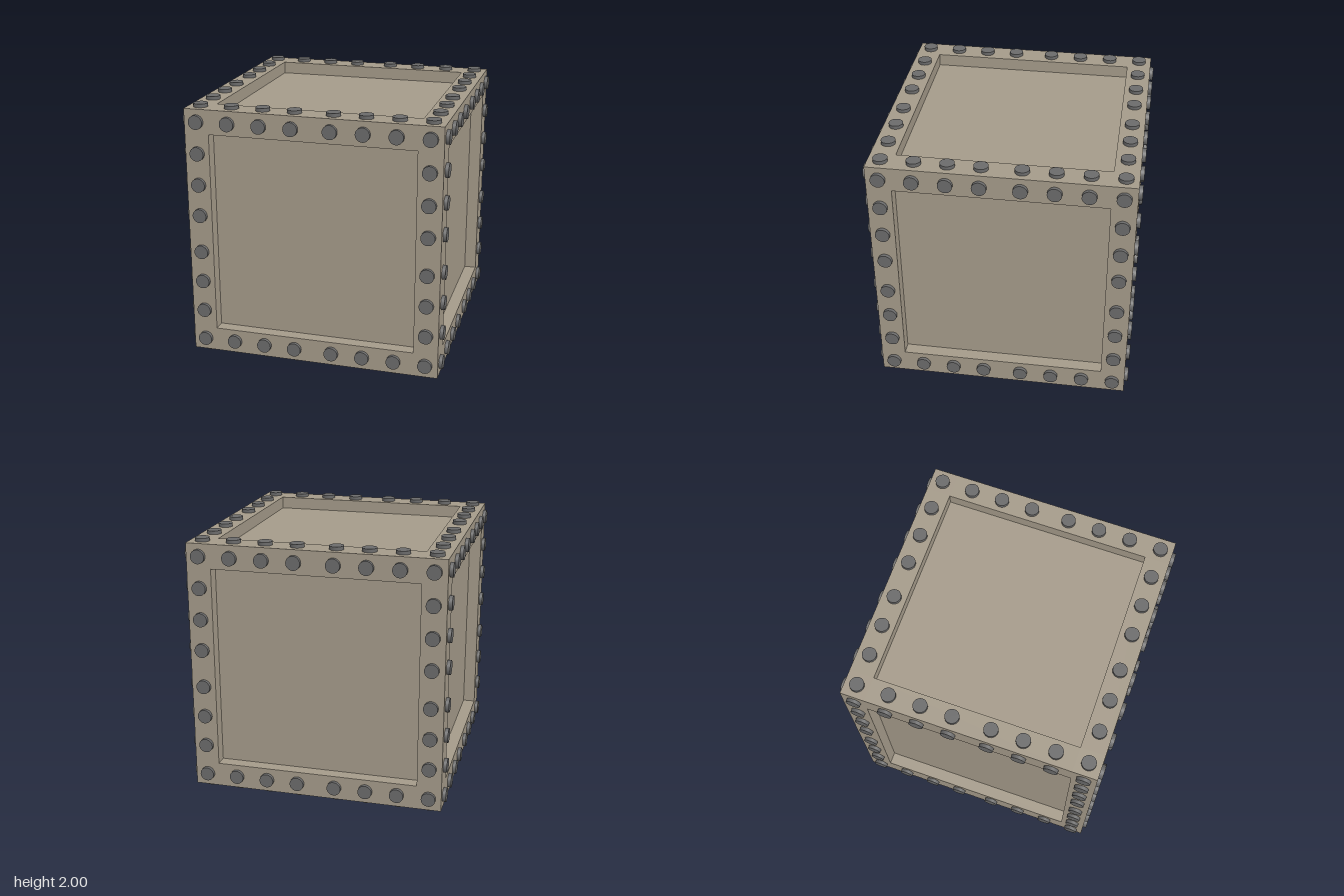
import * as THREE from 'three';

const HALF = 0.973;        // half width of the crate body
const BAR = 0.188;         // frame bar thickness
const RECESS = 0.095;      // depth of the sunken panels
const RIVET_R = 0.054;
const RIVET_H = 1 - HALF;  // how far rivets stand proud

export function createModel() {
  const crate = new THREE.Group();
  crate.name = 'crate';
  const bodyMat = new THREE.MeshStandardMaterial({ color: 0xa59b8a });
  const rivetMat = new THREE.MeshStandardMaterial({ color: 0x6b6b6b });

  const addMesh = (parent, name, geometry, material) => {
    const mesh = new THREE.Mesh(geometry, material);
    mesh.name = name;
    parent.add(mesh);
    return mesh;
  };

  // Inner box whose six sides form the recessed panels
  const core = 2 * (HALF - RECESS);
  addMesh(crate, 'recessedPanels', new THREE.BoxGeometry(core, core, core), bodyMat);

  // Twelve frame bars: full-height posts, rails fitted between them
  const frame = new THREE.Group();
  frame.name = 'frame';
  crate.add(frame);
  const c = HALF - BAR / 2;
  const railLength = 2 * (HALF - BAR);
  const post = new THREE.BoxGeometry(BAR, 2 * HALF, BAR);
  const railX = new THREE.BoxGeometry(railLength, BAR, BAR);
  const railZ = new THREE.BoxGeometry(BAR, BAR, railLength);
  for (const a of [-c, c]) {
    for (const b of [-c, c]) {
      addMesh(frame, 'cornerPost', post, bodyMat).position.set(a, 0, b);
      addMesh(frame, 'crossRail', railX, bodyMat).position.set(0, a, b);
      addMesh(frame, 'sideRail', railZ, bodyMat).position.set(a, b, 0);
    }
  }

  // Rivet ring for one face, laid out in the xy plane facing +z
  const rivetGeo = new THREE.CylinderGeometry(RIVET_R, RIVET_R, RIVET_H, 32);
  rivetGeo.rotateX(Math.PI / 2);
  const half = [0.147, 0.39, 0.634, 0.877];
  const steps = [...half.map((v) => -v).reverse(), ...half];
  const edge = half[3];
  const addRivets = (name, rx, ry) => {
    const ring = new THREE.Group();
    ring.name = name;
    ring.rotation.set(rx, ry, 0);
    crate.add(ring);
    for (const x of steps) {
      for (const y of steps) {
        if (Math.abs(x) < edge && Math.abs(y) < edge) continue;
        addMesh(ring, 'rivet', rivetGeo, rivetMat).position.set(x, y, HALF + RIVET_H / 2);
      }
    }
  };
  const q = Math.PI / 2;
  addRivets('frontRivets', 0, 0);
  addRivets('backRivets', 0, 2 * q);
  addRivets('leftRivets', 0, q);
  addRivets('rightRivets', 0, -q);
  addRivets('topRivets', -q, 0);
  addRivets('bottomRivets', q, 0);

  // Stand on the ground on the lower rivets
  crate.position.y = 1;
  const model = new THREE.Group();
  model.name = 'rivetedCrate';
  model.add(crate);
  return model;
}
